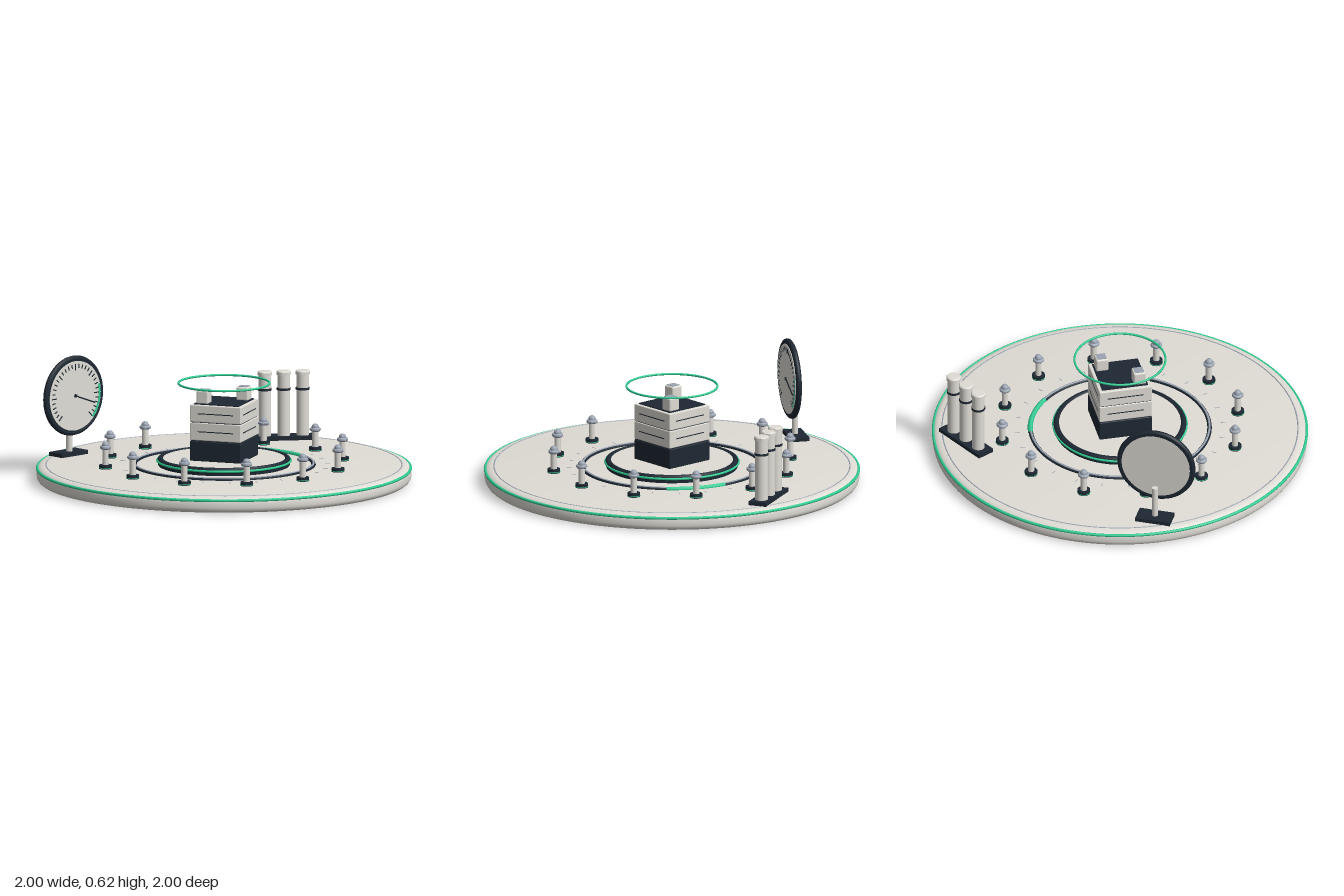
import * as THREE from 'three';
import { RoundedBoxGeometry } from 'three/addons/geometries/RoundedBoxGeometry.js';
import { toCreasedNormals } from 'three/addons/utils/BufferGeometryUtils.js';

const material = (name, color) => {
  const m = new THREE.MeshStandardMaterial({ color });
  m.name = name;
  return m;
};

export function createModel() {
  const light = material('warm white', 0xe0ddd6);
  const dark = material('dark slate', 0x1e2833);
  const steel = material('steel grey', 0x9ca5b3);
  const green = material('signal green', 0x30cf94);

  const model = new THREE.Group();
  model.name = 'instrumentPlatform';

  const add = (parent, name, geometry, mat, x = 0, y = 0, z = 0) => {
    const mesh = new THREE.Mesh(geometry, mat);
    mesh.name = name;
    mesh.position.set(x, y, z);
    parent.add(mesh);
    return mesh;
  };
  const group = (parent, name, x = 0, y = 0, z = 0, turn = 0) => {
    const g = new THREE.Group();
    g.name = name;
    g.position.set(x, y, z);
    g.rotation.y = turn;
    parent.add(g);
    return g;
  };
  const disc = (r, h, seg = 64) => new THREE.CylinderGeometry(r, r, h, seg);
  const lathe = (points, seg) => toCreasedNormals(
    new THREE.LatheGeometry(points.map(([r, y]) => new THREE.Vector2(r, y)), seg), 0.6);
  // Horizontal ring, or an arc of one running from +x towards -z
  const ring = (r, tube, arc = Math.PI * 2, seg = 96) =>
    new THREE.TorusGeometry(r, tube, 8, seg, arc).rotateX(-Math.PI / 2);

  // Base disc with rounded edge and trims
  add(model, 'base', lathe([[0, 0], [0.97, 0], [0.98, 0.002], [0.988, 0.008], [0.994, 0.017],
    [0.996, 0.028], [0.996, 0.058], [0.992, 0.069], [0.983, 0.077], [0.968, 0.083],
    [0.95, 0.085], [0, 0.085]], 128), light);
  add(model, 'edgeTrim', ring(0.992, 0.008, Math.PI * 2, 128), green, 0, 0.068);
  add(model, 'panelSeam', ring(0.946, 0.004, Math.PI * 2, 128), steel, 0, 0.0835);

  // Floor track with a green sector and radial marks
  add(model, 'track', ring(0.476, 0.012), dark, 0, 0.086);
  add(model, 'trackInlay', ring(0.476, 0.007), steel, 0, 0.093);
  add(model, 'trackSector', ring(0.477, 0.014, 0.68, 24), green, 0, 0.0865);
  for (let i = 0; i < 24; i++) {
    const g = group(model, 'floorMark', 0, 0.0845, 0, ((i + 0.5) / 24) * Math.PI * 2);
    add(g, 'mark', new THREE.BoxGeometry(0.028, 0.003, 0.004), steel, 0.55);
  }

  // Central podium
  add(model, 'podium', disc(0.35, 0.03), dark, 0, 0.095);
  add(model, 'podiumRim', ring(0.338, 0.017), dark, 0, 0.111);
  add(model, 'podiumTrim', ring(0.354, 0.0065), green, 0, 0.109);
  add(model, 'podiumTop', disc(0.324, 0.02), light, 0, 0.112);

  // Stacked tower, set corner forward
  const tower = group(model, 'tower', 0, 0, 0, Math.PI / 4);
  const layers = [[0.175, 0.108, dark], [0.281, 0.096, light], [0.378, 0.092, light]];
  layers.forEach(([y, h, mat], i) => {
    add(tower, 'towerLayer', new RoundedBoxGeometry(0.286, h, 0.286, 2, 0.005), mat, 0, y);
    if (i === 0) return;
    add(tower, 'layerGap', new THREE.BoxGeometry(0.276, 0.012, 0.276), dark, 0, y - h / 2);
    for (let k = 0; k < 4; k++) {
      const side = group(tower, 'towerSide', 0, y, 0, k * Math.PI / 2);
      add(side, 'slot', new THREE.BoxGeometry(0.2, 0.005, 0.003), dark, 0, 0, 0.1425);
    }
  });
  add(tower, 'towerTop', new THREE.BoxGeometry(0.25, 0.012, 0.25), dark, 0, 0.423);
  for (const s of [-1, 1]) {
    const post = group(model, 'towerBlock', s * 0.118, 0.462, 0, Math.PI / 4);
    add(post, 'block', new RoundedBoxGeometry(0.068, 0.074, 0.068, 2, 0.01), light);
    add(post, 'blockCap', new THREE.BoxGeometry(0.05, 0.004, 0.05), steel, 0, 0.037);
  }
  add(model, 'halo', ring(0.242, 0.006), green, 0, 0.525);

  // Ring of bollards
  const bollardPost = disc(0.017, 0.11, 16);
  const bollardFoot = disc(0.034, 0.022, 16);
  const bollardTrim = ring(0.0335, 0.002, Math.PI * 2, 20);
  const bollardCollar = lathe([[0, -0.01], [0.024, -0.01], [0.03, -0.004],
    [0.03, 0.004], [0.024, 0.01], [0, 0.01]], 16);
  const bollardDome = new THREE.SphereGeometry(0.02, 16, 12);
  for (let i = 0; i < 12; i++) {
    const a = Math.PI / 12 + (i * Math.PI) / 6;
    const b = group(model, 'bollard', 0.641 * Math.cos(a), 0, 0.641 * Math.sin(a), -a);
    add(b, 'foot', bollardFoot, dark, 0, 0.095);
    add(b, 'footTrim', bollardTrim, green, 0, 0.09);
    add(b, 'post', bollardPost, light, 0, 0.145);
    add(b, 'collar', bollardCollar, steel, 0, 0.2);
    add(b, 'dome', bollardDome, steel, 0, 0.212);
  }

  // Three pipes on a plate
  const pipes = group(model, 'pipeStand', 0.619, 0, -0.551, -0.31);
  add(pipes, 'plate', new THREE.BoxGeometry(0.332, 0.022, 0.098), dark, 0, 0.095);
  for (const x of [-0.102, 0, 0.102]) {
    add(pipes, 'pipe', disc(0.034, 0.345, 32), light, x, 0.275);
    add(pipes, 'pipeBand', disc(0.037, 0.012, 32), dark, x, 0.357);
    add(pipes, 'pipeCap', lathe([[0, -0.009], [0.039, -0.009], [0.039, 0.006],
      [0.034, 0.012], [0, 0.012]], 32), light, x, 0.443);
  }

  // Dial gauge on its stand
  const gauge = group(model, 'gauge', -0.605, 0, -0.59, 0.314);
  add(gauge, 'standPlate', new THREE.BoxGeometry(0.19, 0.022, 0.1), dark, 0, 0.095, -0.035);
  add(gauge, 'standPost', disc(0.016, 0.18, 16), light, 0, 0.19, -0.03);
  const dial = group(gauge, 'dial', 0, 0.41, 0);
  const upright = (r, h) => disc(r, h).rotateX(Math.PI / 2);
  add(dial, 'case', upright(0.2, 0.028), dark);
  add(dial, 'bezel', new THREE.TorusGeometry(0.2, 0.015, 10, 64), dark);
  add(dial, 'face', upright(0.187, 0.006), light, 0, 0, 0.014);
  add(dial, 'backPlate', upright(0.187, 0.004), light, 0, 0, -0.0135);

  // Tick scale, green sector and needle
  for (let i = 0; i <= 30; i++) {
    const a = -Math.PI / 4 + (i / 30) * Math.PI * 1.5;
    const len = i % 5 === 0 ? 0.034 : 0.022;
    const r = 0.172 - len / 2;
    const tick = add(dial, 'tick', new THREE.BoxGeometry(len, 0.005, 0.004), dark,
      r * Math.cos(a), r * Math.sin(a), 0.018);
    tick.rotation.z = a;
  }
  add(dial, 'dialSector', new THREE.RingGeometry(0.17, 0.184, 24, 1, -Math.PI / 4, 1.05),
    green, 0, 0, 0.0185);
  const needle = add(dial, 'needle', new THREE.BoxGeometry(0.15, 0.007, 0.005), dark,
    0.07, -0.026, 0.021);
  needle.rotation.z = -0.36;
  add(dial, 'needleHub', upright(0.009, 0.008), dark, 0, 0, 0.021);

  return model;
}
